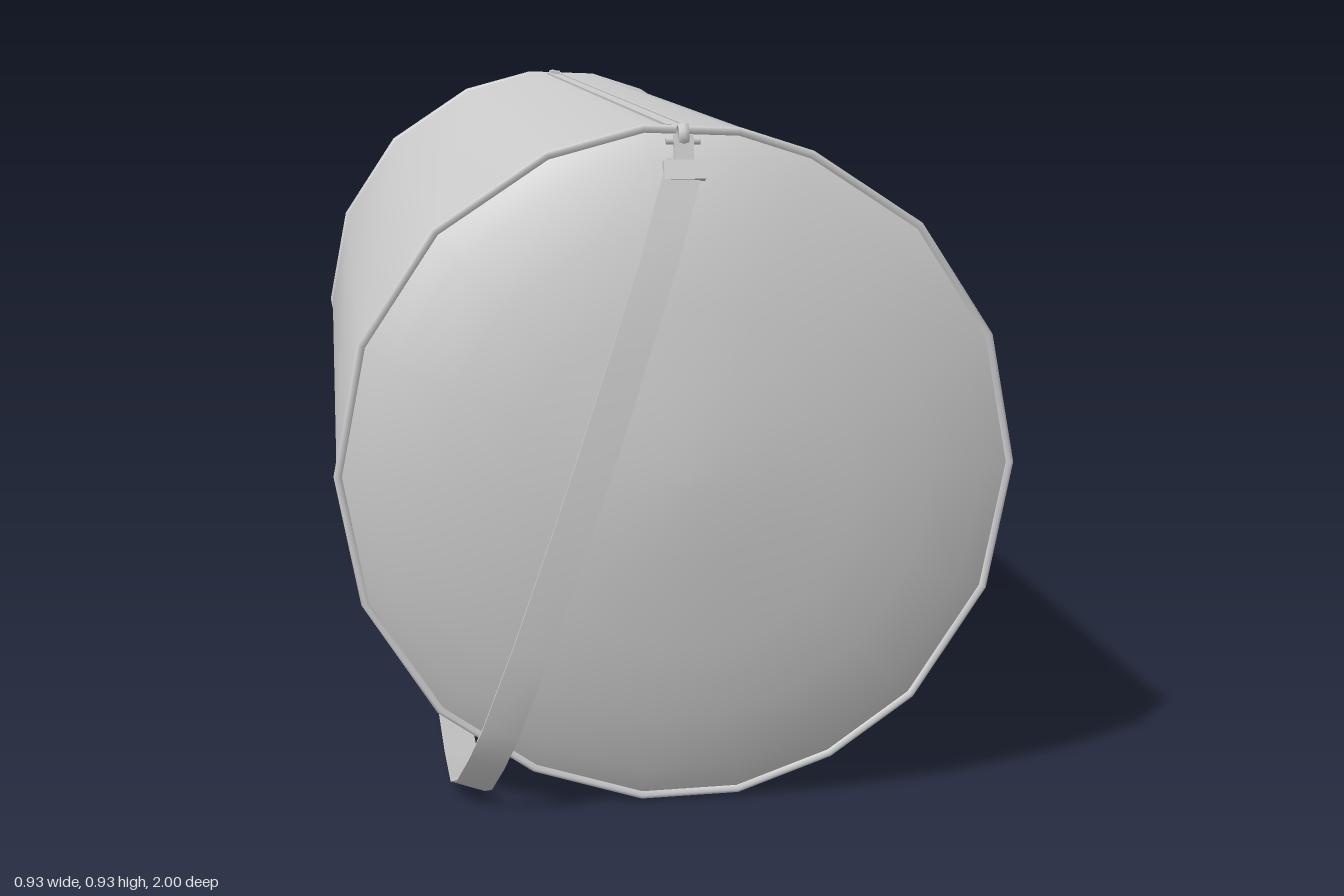
import * as THREE from 'three';
import { toCreasedNormals } from 'three/addons/utils/BufferGeometryUtils.js';

const CY = 0.47; // height of the bag's axis
// slightly uneven cross-section of the bag, counter-clockwise, relative to the axis
const OUTLINE = [
  [0.464, 0], [0.43, 0.178], [0.33, 0.33], [0.18, 0.428], [0.08, 0.46], [-0.05, 0.465],
  [-0.18, 0.43], [-0.33, 0.33], [-0.43, 0.178], [-0.464, 0], [-0.43, -0.177], [-0.33, -0.33],
  [-0.2, -0.418], [-0.05, -0.463], [0.085, -0.459], [0.215, -0.412], [0.33, -0.33], [0.43, -0.177],
];

export function createModel() {
  const group = new THREE.Group();
  const mat = new THREE.MeshStandardMaterial({ color: 0xcccccc });
  const matDouble = new THREE.MeshStandardMaterial({ color: 0xcccccc, side: THREE.DoubleSide });

  function add(name, geo, x = 0, y = 0, z = 0, material = mat, parent = group) {
    const m = new THREE.Mesh(geo, material);
    m.name = name;
    m.position.set(x, y, z);
    parent.add(m);
    return m;
  }

  // skin the outline through rings of [scale, z], z rising
  function loft(rings) {
    const pos = [], idx = [], n = OUTLINE.length;
    for (const [s, z] of rings) for (const [x, y] of OUTLINE) pos.push(x * s, y * s + CY, z);
    for (let k = 0; k < rings.length - 1; k++) {
      for (let i = 0; i < n; i++) {
        const j = (i + 1) % n, a = k * n + i, b = k * n + j;
        idx.push(a, b, b + n, a, b + n, a + n);
      }
    }
    const g = new THREE.BufferGeometry();
    g.setAttribute('position', new THREE.Float32BufferAttribute(pos, 3));
    g.setIndex(idx);
    g.computeVertexNormals();
    return g;
  }
  const flip = rings => rings.map(([s, z]) => [s, -z]).reverse();

  // main tube, domed ends and piping
  add('body', loft([[0.993, -0.885], [0.993, 0.885]]), 0, 0, 0, matDouble);
  const dome = [[0.985, 0.885], [0.9, 0.907], [0.72, 0.937], [0.5, 0.958], [0.25, 0.973], [0.12, 0.979], [0.0001, 0.98]];
  const piping = [[0.99, 0.876], [1, 0.879], [1.002, 0.885], [1, 0.891], [0.99, 0.894], [0.978, 0.89]];
  add('frontEnd', loft(dome));
  add('backEnd', loft(flip(dome)));
  add('frontPiping', loft(piping));
  add('backPiping', loft(flip(piping)));

  // carrying strap: a bent band lying in one tilted plane; half path as [z, y]
  const half = [[0.918, 0.885], [0.932, 0.85], [0.966, 0.76], [0.985, 0.62], [0.996, 0.5], [0.9975, 0.4],
    [0.988, 0.25], [0.962, 0.13], [0.93, 0.08], [0.89, 0.038], [0.84, 0.019], [0.7, 0.015]];
  const tilt = new THREE.Vector3(0.316, 0.949, 0).normalize();
  const path = [...half, ...half.map(([z, y]) => [-z, y]).reverse()]
    .map(([z, y]) => new THREE.Vector2(z, (y - 0.88) / tilt.y));
  const offset = d => path.map((p, i) => {
    const t = path[Math.min(i + 1, path.length - 1)].clone().sub(path[Math.max(i - 1, 0)]).normalize();
    return new THREE.Vector2(p.x - t.y * d, p.y + t.x * d);
  });
  const band = new THREE.Shape([...offset(0.0025), ...offset(-0.0025).reverse()]);
  const strapGeo = new THREE.ExtrudeGeometry(band, { depth: 0.05, bevelEnabled: false });
  strapGeo.translate(0, 0, -0.025);
  const zAxis = new THREE.Vector3(0, 0, 1);
  strapGeo.applyMatrix4(new THREE.Matrix4().makeBasis(zAxis, tilt, zAxis.clone().cross(tilt)));
  add('strap', toCreasedNormals(strapGeo, 0.7), 0, 0.88, 0);

  // strap clip and ring at both ends
  for (const s of [1, -1]) {
    const clip = new THREE.Group();
    clip.name = s > 0 ? 'frontClip' : 'backClip';
    const buckle = add('buckle', new THREE.BoxGeometry(0.055, 0.026, 0.012), 0, 0.877, 0.921, mat, clip);
    buckle.rotation.x = -0.35;
    add('clipStem', new THREE.BoxGeometry(0.026, 0.036, 0.01), 0, 0.905, 0.914, mat, clip).rotation.x = -0.2;
    add('clipBar', new THREE.CylinderGeometry(0.005, 0.005, 0.046, 8).rotateZ(Math.PI / 2), 0, 0.915, 0.908, mat, clip);
    const ring = add('clipRing', new THREE.TorusGeometry(0.013, 0.004, 6, 14).rotateY(Math.PI / 2), 0, 0.922, 0.905, mat, clip);
    ring.scale.x = 2;
    clip.rotation.y = s > 0 ? 0 : Math.PI;
    group.add(clip);
  }

  // zip along the top
  for (const x of [-0.011, 0.011]) {
    add('zipTape', new THREE.BoxGeometry(0.007, 0.006, 1.74), x, 0.931, -0.015);
  }
  add('zipTeeth', new THREE.BoxGeometry(0.014, 0.003, 1.74), 0, 0.931, -0.015);
  add('zipSlider', new THREE.BoxGeometry(0.018, 0.008, 0.035), 0, 0.934, -0.855);
  add('zipPull', new THREE.BoxGeometry(0.01, 0.004, 0.05), 0, 0.937, -0.825);
  return group;
}
